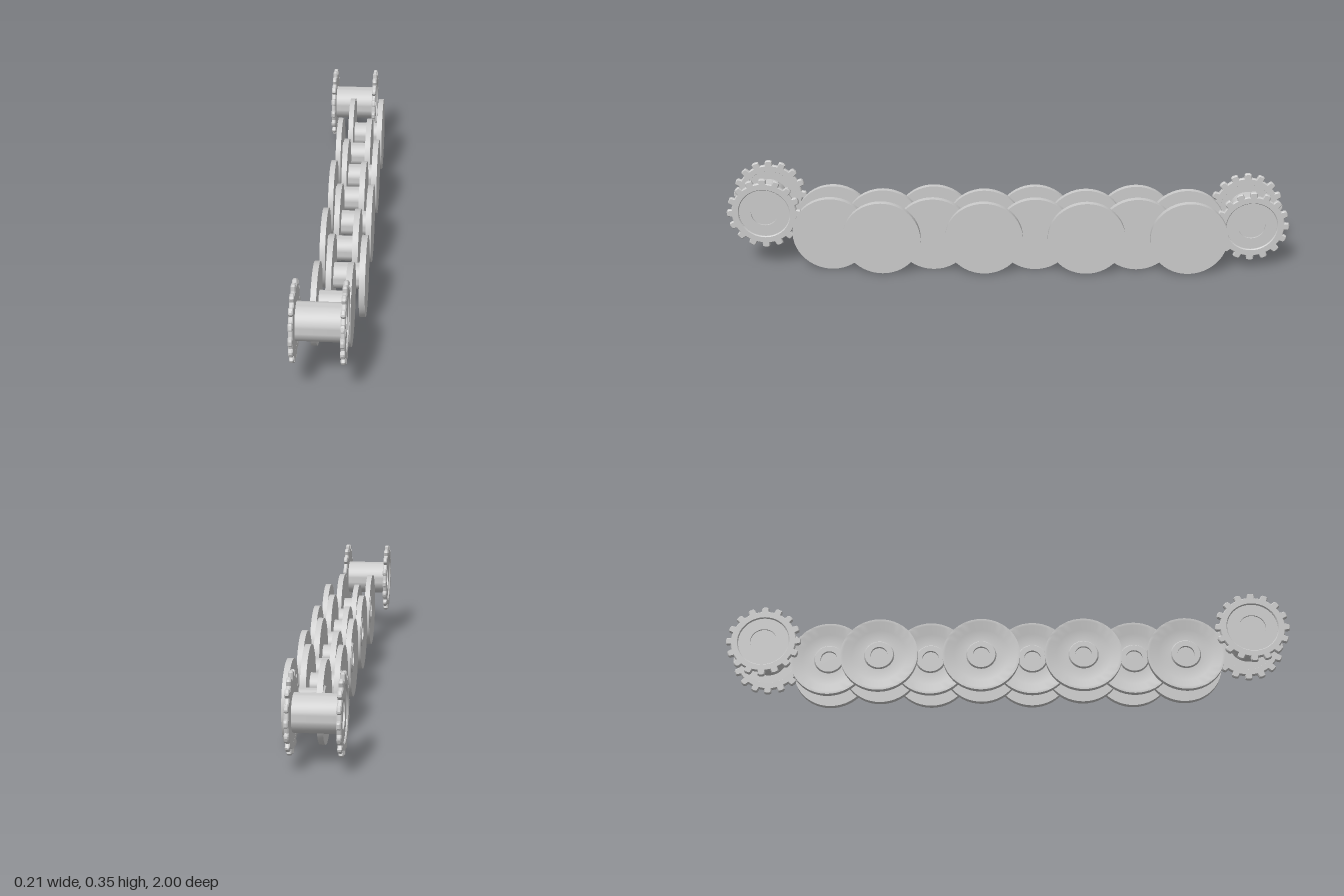
import * as THREE from 'three';
import { toCreasedNormals } from 'three/addons/utils/BufferGeometryUtils.js';

const material = new THREE.MeshStandardMaterial({ color: 0xcccccc });

// Turned part around the x axis; profile is a list of [x, radius] running towards +x
function turned(name, profile, segments) {
  const points = profile.map(([x, r]) => new THREE.Vector2(r, x));
  const geometry = new THREE.LatheGeometry(points, segments).rotateZ(-Math.PI / 2);
  const mesh = new THREE.Mesh(toCreasedNormals(geometry, 0.5), material);
  mesh.name = name;
  return mesh;
}

// Twin road wheel: dished outer disc, axle tube, flat disc
function roadWheel() {
  const wheel = new THREE.Group();
  wheel.name = 'roadWheel';
  wheel.add(
    turned('dishedDisc', [
      [-0.068, 0], [-0.068, 0.03], [-0.078, 0.03], [-0.078, 0.05], [-0.072, 0.054],
      [-0.072, 0.098], [-0.082, 0.128], [-0.082, 0.138], [-0.063, 0.138], [-0.063, 0]
    ], 48),
    turned('axle', [[-0.064, 0.044], [0.03, 0.044]], 32),
    turned('flatDisc', [[0.028, 0], [0.028, 0.138], [0.048, 0.138], [0.048, 0]], 48)
  );
  return wheel;
}

// Toothed ring, teeth narrowing towards their tips
function toothedRing() {
  const teeth = 16, root = 0.116, tip = 0.133;
  const shape = new THREE.Shape();
  const outline = [[-0.5, root], [-0.3, root], [-0.24, tip - 0.003], [-0.12, tip], [0.12, tip], [0.24, tip - 0.003], [0.3, root]];
  const points = [];
  for (let i = 0; i < teeth; i++) {
    for (const [offset, r] of outline) {
      const a = ((i + offset) / teeth) * Math.PI * 2;
      points.push(new THREE.Vector2(Math.cos(a) * r, Math.sin(a) * r));
    }
  }
  shape.setFromPoints(points);
  shape.holes.push(new THREE.Path().absarc(0, 0, 0.09, 0, Math.PI * 2, true));
  const geometry = new THREE.ExtrudeGeometry(shape, {
    depth: 0.008, bevelEnabled: true, bevelThickness: 0.0035, bevelSize: 0.003,
    bevelOffset: -0.003, bevelSegments: 1, curveSegments: 24
  });
  geometry.translate(0, 0, -0.004).rotateY(Math.PI / 2);
  const mesh = new THREE.Mesh(toCreasedNormals(geometry, 0.4), material);
  mesh.name = 'toothedRing';
  return mesh;
}

// Sprocket: drum between two toothed plates with recessed outer faces
function sprocket(name) {
  const group = new THREE.Group();
  group.name = name;
  group.add(turned('drum', [[-0.076, 0.0625], [0.076, 0.0625]], 40));
  for (const side of [-1, 1]) {
    const plate = new THREE.Group();
    plate.name = side > 0 ? 'leftPlate' : 'rightPlate';
    plate.add(toothedRing(), turned('recessedFace', [
      [-0.0072, 0], [-0.0072, 0.093], [0.002, 0.093], [0.002, 0.048], [-0.004, 0.048], [-0.004, 0]
    ], 40));
    plate.position.x = side * 0.08;
    if (side < 0) plate.rotation.y = Math.PI;
    group.add(plate);
  }
  return group;
}

export function createModel() {
  const model = new THREE.Group();
  model.name = 'runningGear';

  // Eight overlapping wheels, alternately staggered sideways
  for (let i = 0; i < 8; i++) {
    const wheel = roadWheel();
    wheel.position.set(i % 2 ? 0.057 : 0.022, 0.138, 0.632 - 0.182 * i);
    model.add(wheel);
  }

  // Sprockets at both ends, the front one higher
  const front = sprocket('frontSprocket');
  front.position.set(-0.0195, 0.218, 0.867);
  const rear = sprocket('rearSprocket');
  rear.position.set(-0.0195, 0.17, -0.867);
  model.add(front, rear);
  return model;
}
